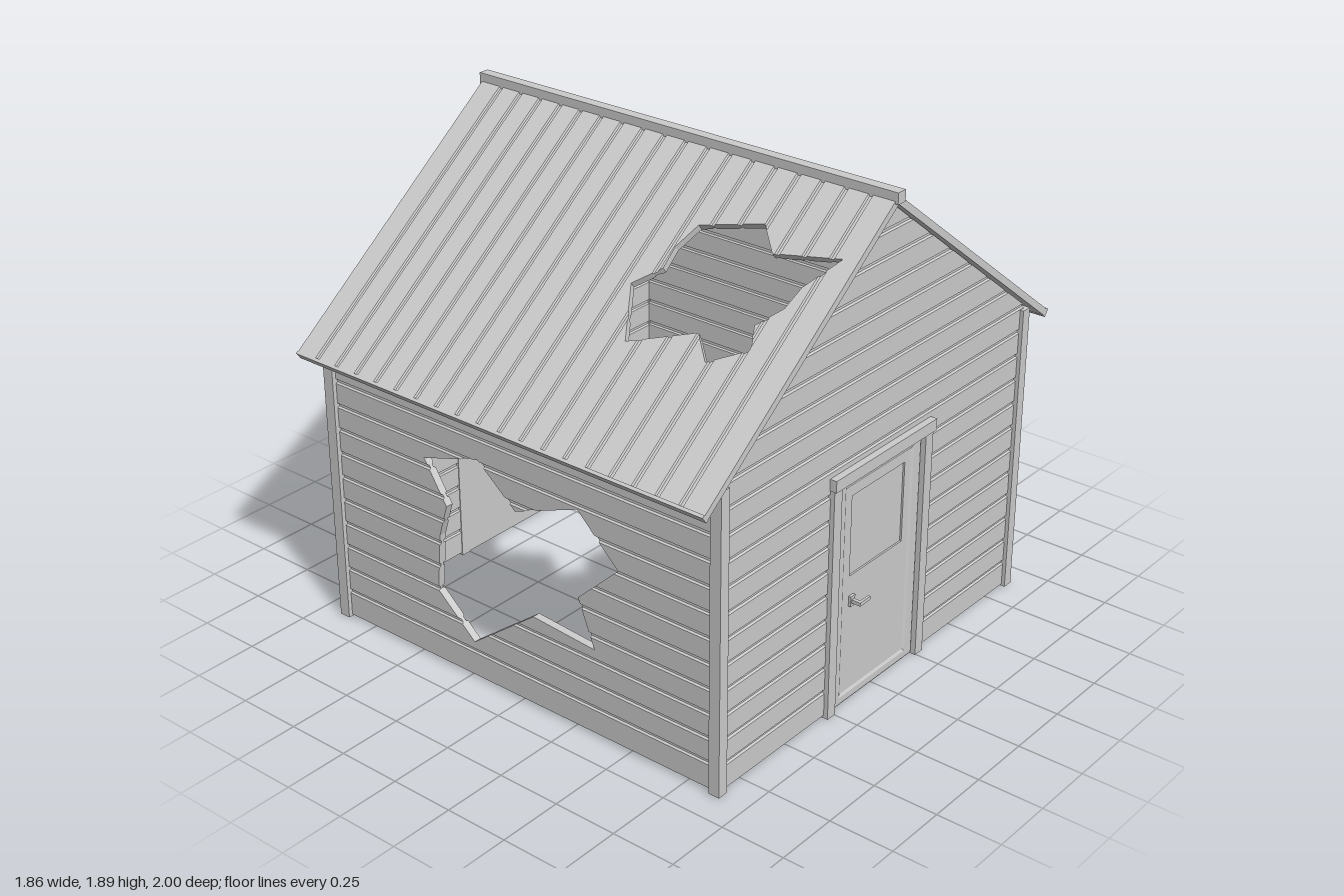
import * as THREE from 'three';

const MAT = new THREE.MeshStandardMaterial({ color: 0xcccccc, side: THREE.DoubleSide });
const PITCH = 0.0965;
const SLOPE = Math.atan(0.76);
const RIDGE_Y = 1.875;

function add(parent, name, geometry, x = 0, y = 0, z = 0) {
  const mesh = new THREE.Mesh(geometry, MAT);
  mesh.name = name;
  mesh.position.set(x, y, z);
  parent.add(mesh);
  return mesh;
}

const box = (parent, name, w, h, d, x, y, z) =>
  add(parent, name, new THREE.BoxGeometry(w, h, d), x, y, z);

function polygon(points, hole) {
  const shape = new THREE.Shape(points.map(p => new THREE.Vector2(...p)));
  if (hole) shape.holes.push(new THREE.Path(hole.map(p => new THREE.Vector2(...p))));
  return shape;
}

const rect = (x0, y0, x1, y1) => [[x0, y0], [x1, y0], [x1, y1], [x0, y1]];

// Part of a convex facet lying on one side of a level
function clip(facet, axis, level, sign) {
  const out = [];
  facet.forEach((a, i) => {
    const b = facet[(i + 1) % facet.length];
    const da = (a[axis] - level) * sign, db = (b[axis] - level) * sign;
    if (da >= 0) out.push(a);
    if (da * db < 0) out.push(a.clone().lerp(b, da / (da - db)));
  });
  return out;
}

// Sheet of boards: extrude a shape, then press a groove between boards on both faces
function boarded(shape, thickness, axis, first, count, depth) {
  const solid = new THREE.ExtrudeGeometry(shape, { depth: thickness, bevelEnabled: false });
  const src = solid.attributes.position;
  let facets = [];
  for (let i = 0; i < src.count; i += 3) {
    facets.push([0, 1, 2].map(k => new THREE.Vector3().fromBufferAttribute(src, i + k)));
  }
  for (let g = 0; g < count; g++) {
    for (const off of [-0.009, -0.005, 0.005, 0.009]) {
      const level = first + g * PITCH + off;
      facets = facets.flatMap(f => {
        const d = f.map(p => p[axis] - level);
        const crosses = Math.min(...d) < -1e-7 && Math.max(...d) > 1e-7;
        return crosses ? [clip(f, axis, level, 1), clip(f, axis, level, -1)] : [f];
      });
    }
  }
  const pos = [];
  const push = p => {
    const g = THREE.MathUtils.clamp(Math.round((p[axis] - first) / PITCH), 0, count - 1);
    const dist = Math.abs(p[axis] - first - g * PITCH);
    const press = depth * THREE.MathUtils.clamp((0.009 - dist) / 0.004, 0, 1);
    pos.push(p.x, p.y, p.z > thickness / 2 ? p.z - press : p.z + press);
  };
  for (const f of facets) {
    for (let i = 1; i + 1 < f.length; i++) [f[0], f[i], f[i + 1]].forEach(push);
  }
  const geo = new THREE.BufferGeometry();
  geo.setAttribute('position', new THREE.Float32BufferAttribute(pos, 3));
  geo.computeVertexNormals();
  return geo;
}

const FRONT_WALL_HOLE = [[-0.43, 0.82], [-0.17, 0.9], [0, 0.76], [0.285, 0.87], [0.46, 0.7],
  [0.28, 0.53], [0.35, 0.35], [0.07, 0.37], [-0.22, 0.15], [-0.39, 0.3], [-0.37, 0.53], [-0.33, 0.66]];
const BACK_WALL_HOLE = [[0.49, 0.95], [0.44, 0.82], [0.34, 0.91], [0.27, 0.75], [0.325, 0.57],
  [0.295, 0.36], [0.38, 0.41], [0.5, 0.13], [0.56, 0.28], [0.53, 0.53], [0.575, 0.85]];
// Roof holes as x and horizontal z
const FRONT_ROOF_HOLE = [[0.18, 0.47], [0.26, 0.4], [0.255, 0.33], [0.29, 0.25], [0.52, 0.19],
  [0.61, 0.265], [0.86, 0.22], [0.78, 0.33], [0.765, 0.4], [0.7, 0.47], [0.735, 0.54],
  [0.61, 0.61], [0.525, 0.54], [0.29, 0.63]];
const BACK_ROOF_HOLE = [[-0.74, -0.58], [-0.55, -0.86], [-0.1, -0.7], [0.06, -0.82], [0.315, -0.71],
  [0.235, -0.58], [0.36, -0.44], [0.365, -0.31], [0.54, -0.11], [0.065, -0.185], [-0.1, -0.05],
  [-0.265, -0.1], [-0.54, -0.16], [-0.595, -0.31], [-0.55, -0.44]];

// One end of the house, built facing +x: gable wall, door and frame
function gableEnd(name, handleOut) {
  const end = new THREE.Group();
  end.name = name;
  const outline = [[-0.87, 0.012], [-0.25, 0.012], [-0.25, 0.905], [0.25, 0.905], [0.25, 0.012],
    [0.87, 0.012], [0.87, 1.175], [0, 1.84], [-0.87, 1.175]];
  const wall = add(end, 'gableWall', boarded(polygon(outline), 0.03, 'y', 0.11, 18, 0.008), 0.86);
  wall.rotation.y = Math.PI / 2;

  // Door: bevelled frame, recessed panel with a window opening, and core
  const layer = (part, outer, hole, bevel) => {
    const geo = new THREE.ExtrudeGeometry(polygon(outer, hole), {
      depth: 0.01, bevelEnabled: bevel > 0, bevelThickness: bevel, bevelSize: bevel * 2,
      bevelOffset: -bevel * 2, bevelSegments: 1 });
    add(end, part, geo, 0.874).rotation.y = Math.PI / 2;
  };
  layer('doorFrame', rect(-0.25, 0.002, 0.25, 0.905), rect(-0.19, 0.045, 0.19, 0.865), 0.005);
  layer('doorPanel', rect(-0.2, 0.03, 0.2, 0.88), rect(-0.155, 0.51, 0.155, 0.825), 0);
  box(end, 'doorCore', 0.018, 0.9, 0.5, 0.868, 0.452, 0);

  for (const s of [1, -1]) box(end, 'doorPost', 0.05, 0.905, 0.044, 0.882, 0.4525, s * 0.268);
  box(end, 'doorLintel', 0.06, 0.045, 0.59, 0.887, 0.9275, 0);

  // Handle
  box(end, 'handlePlate', 0.012, 0.04, 0.026, 0.888, 0.41, 0.143);
  box(end, 'handleSpindle', handleOut, 0.014, 0.014, 0.89 + handleOut / 2, 0.41, 0.143);
  box(end, 'handleLever', 0.01, 0.014, 0.06, 0.89 + handleOut, 0.41, 0.12);
  return end;
}

// Roof slope: drawn flat with the ridge at y = 0, then tilted; sign is the z side
function roofSlope(parent, name, hole, sign) {
  const c = Math.cos(SLOPE), thickness = 0.026;
  const flat = hole.map(([x, z]) => [x * sign, -z * sign / c]);
  const shape = polygon(rect(-0.917, -0.99 / c, 0.917, 0), flat);
  const geo = boarded(shape, thickness, 'x', -8.5 * PITCH, 18, 0.006);
  geo.translate(0, 0, -thickness);
  geo.rotateX(SLOPE - Math.PI / 2);
  if (sign < 0) geo.rotateY(Math.PI);
  add(parent, name, geo, 0, RIDGE_Y, 0);
  const lip = box(parent, 'eaveLip', 1.834, 0.032, 0.012, 0, RIDGE_Y - 0.985 * 0.76 - 0.016, sign * 0.985);
  lip.rotation.x = sign * SLOPE;
}

export function createModel() {
  const model = new THREE.Group();
  model.name = 'ruinedShed';
  const house = new THREE.Group();
  house.name = 'house';
  house.position.x = -0.005;
  model.add(house);

  // Long walls with broken openings
  const wallOutline = rect(-0.88, 0.012, 0.88, 1.18);
  const longWall = hole => boarded(polygon(wallOutline, hole), 0.03, 'y', 0.113, 11, 0.008);
  add(house, 'frontWall', longWall(FRONT_WALL_HOLE), 0, 0, 0.845);
  const back = add(house, 'backWall', longWall(BACK_WALL_HOLE.map(([x, y]) => [-x, y])), 0, 0, -0.845);
  back.rotation.y = Math.PI;

  // Gable ends, mirrored
  const right = gableEnd('rightEnd', 0.025);
  right.scale.x = -1;
  house.add(gableEnd('leftEnd', 0.035), right);

  // Corner posts
  for (const sx of [1, -1]) for (const sz of [1, -1]) {
    box(house, 'cornerPost', 0.045, 1.155, 0.042, sx * 0.882, 0.5825, sz * 0.87);
  }

  roofSlope(house, 'frontRoof', FRONT_ROOF_HOLE, 1);
  roofSlope(house, 'backRoof', BACK_ROOF_HOLE, -1);
  box(house, 'ridgeCap', 1.855, 0.042, 0.042, 0, 1.87, 0);
  return model;
}
